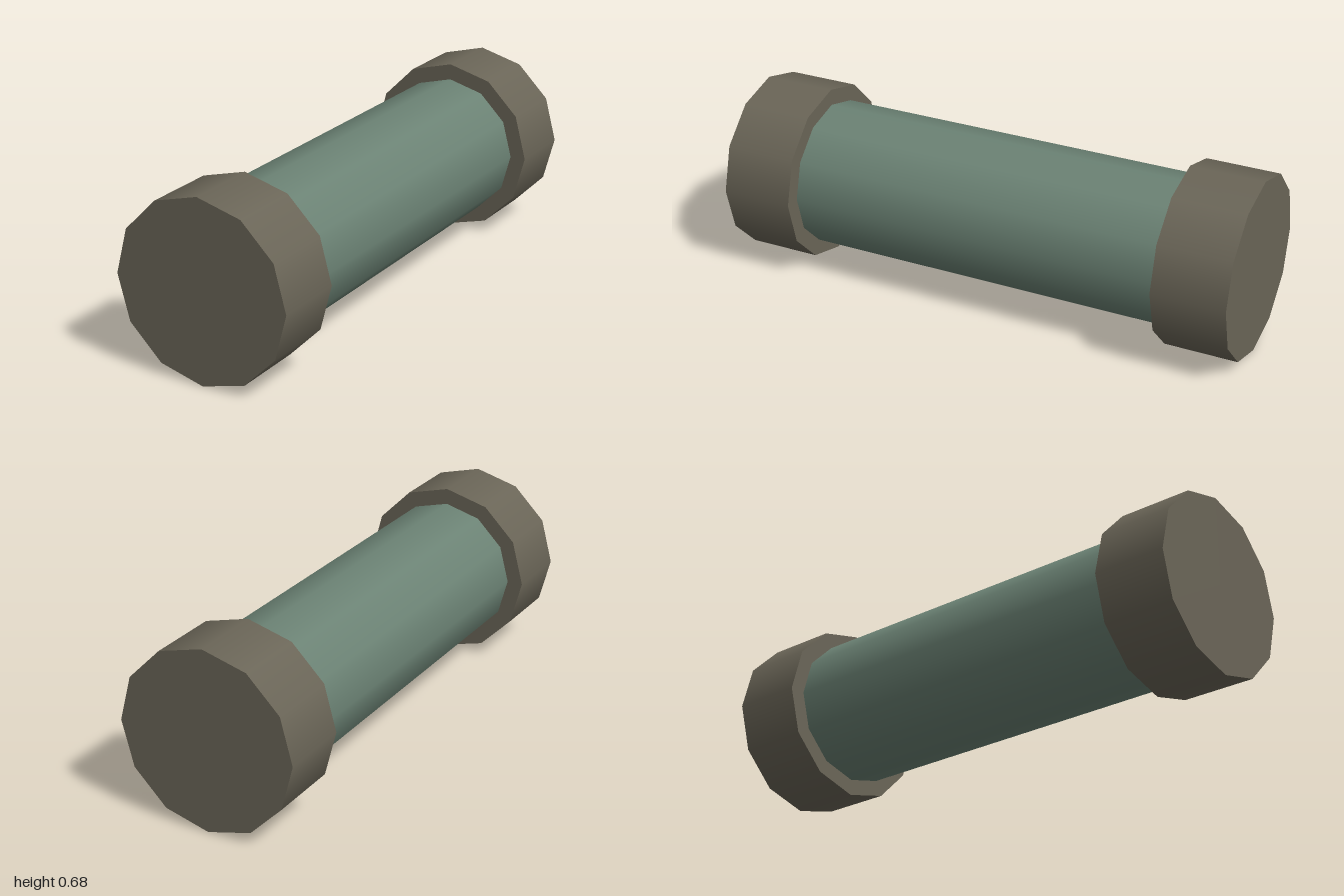
import * as THREE from 'three';

export function createModel() {
  const model = new THREE.Group();
  const capColour = new THREE.MeshStandardMaterial({ color: 0x6a6557 });
  capColour.name = 'warm grey';
  const tubeColour = new THREE.MeshStandardMaterial({ color: 0x6b8274 });
  tubeColour.name = 'sage green';

  const capRadius = 0.338, capLength = 0.276, tubeRadius = 0.276;

  // Twelve-sided cylinder lying along z, smooth around its side
  function addCylinder(name, radius, length, z, material) {
    const geometry = new THREE.CylinderGeometry(radius, radius, length, 12);
    geometry.rotateX(Math.PI / 2);
    const mesh = new THREE.Mesh(geometry, material);
    mesh.name = name;
    mesh.position.set(0, capRadius, z);
    model.add(mesh);
  }

  // Central tube, ending just inside the caps
  addCylinder('tube', tubeRadius, 2 - 2 * capLength + 0.02, 0, tubeColour);

  // End caps
  for (const [name, side] of [['frontCap', 1], ['backCap', -1]]) {
    addCylinder(name, capRadius, capLength, side * (1 - capLength / 2), capColour);
  }

  return model;
}
